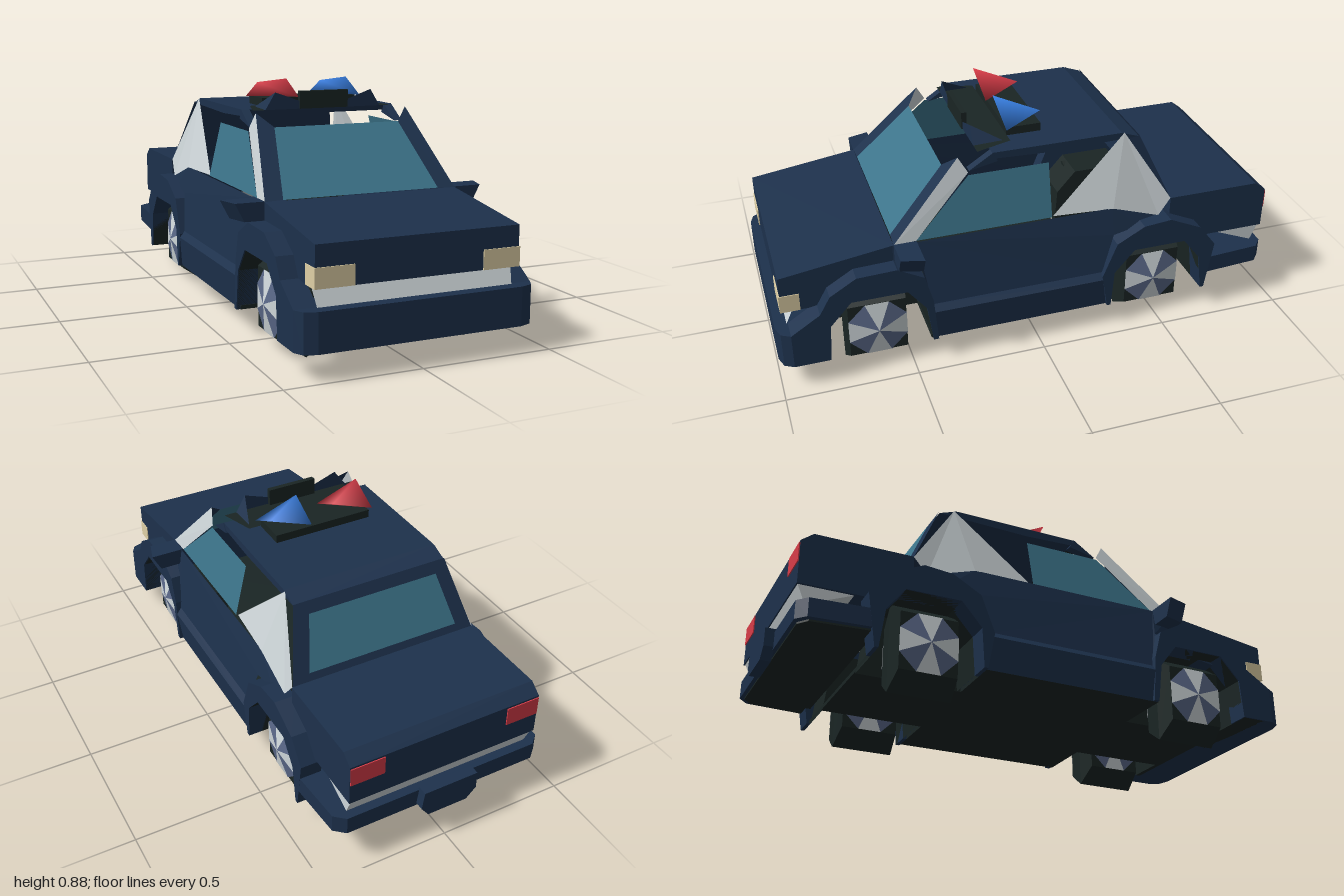
import * as THREE from 'three';

const paint = (name, color) => {
  const m = new THREE.MeshStandardMaterial({ color, side: THREE.DoubleSide });
  m.name = name;
  return m;
};

export function createModel() {
  const car = new THREE.Group();
  car.name = 'patrolCar';
  const navy = paint('navyBody', 0x1d314c), dark = paint('darkRubber', 0x1a2524);
  const glass = paint('tealGlass', 0x3c748a), silver = paint('silver', 0xced6d9);
  const slate = paint('slateSpoke', 0x5a6888), red = paint('red', 0xd83c48);
  const blue = paint('blue', 0x387fe2), cream = paint('creamLamp', 0xdfd0a6);

  const add = (name, geo, mat) => {
    const m = new THREE.Mesh(geo, mat);
    m.name = name;
    car.add(m);
    return m;
  };
  // Flat convex panel through the given corners
  const panel = (name, mat, pts) => {
    const pos = [];
    for (let i = 1; i < pts.length - 1; i++) pos.push(...pts[0], ...pts[i], ...pts[i + 1]);
    const g = new THREE.BufferGeometry();
    g.setAttribute('position', new THREE.Float32BufferAttribute(pos, 3));
    g.computeVertexNormals();
    return add(name, g, mat);
  };
  const box = (name, mat, x0, x1, y0, y1, z0, z1) =>
    add(name, new THREE.BoxGeometry(Math.abs(x1 - x0), y1 - y0, z1 - z0)
      .translate((x0 + x1) / 2, (y0 + y1) / 2, (z0 + z1) / 2), mat);
  const extrude = (pts, depth) => new THREE.ExtrudeGeometry(
    new THREE.Shape(pts.map(p => new THREE.Vector2(...p))), { depth, bevelEnabled: false });
  // Side profile of [z, y] points, pushed along x
  const sideways = (name, mat, pts, x0, x1) =>
    add(name, extrude(pts.map(([z, y]) => [-z, y]), Math.abs(x1 - x0))
      .rotateY(Math.PI / 2).translate(Math.min(x0, x1), 0, 0), mat);
  // Half plan of [x, z] points, mirrored and pushed up along y
  const upward = (name, mat, half, y0, y1) => {
    const pts = [...half, ...half.map(([x, z]) => [-x, z]).reverse()].map(([x, z]) => [x, -z]);
    return add(name, extrude(pts, y1 - y0).rotateX(-Math.PI / 2).translate(0, y0, 0), mat);
  };

  // Hood and trunk
  sideways('hood', navy, [[0.545, 0.51], [0.97, 0.45], [0.97, 0.305], [0.87, 0.305], [0.55, 0.36]], -0.38, 0.38);
  sideways('trunk', navy,
    [[-0.55, 0.51], [-0.92, 0.51], [-0.965, 0.475], [-0.965, 0.31], [-0.72, 0.31], [-0.55, 0.42]], -0.385, 0.385);

  // Bumpers, grille and the rear plate holder
  upward('frontBumper', navy, [[0.445, 0.84], [0.445, 0.95], [0.425, 0.985], [0.38, 1]], 0.1, 0.24);
  panel('grille', silver, [[-0.365, 0.24, 0.955], [0.365, 0.24, 0.955], [0.375, 0.305, 0.93], [-0.375, 0.305, 0.93]]);
  upward('rearBumper', navy, [[0.445, -0.71], [0.43, -0.93], [0.39, -0.965]], 0.17, 0.24);
  upward('rearBumperUnderside', dark, [[0.43, -0.69], [0.41, -0.92], [0.37, -0.95]], 0.163, 0.17);
  sideways('rearValance', silver, [[-0.76, 0.31], [-0.96, 0.31], [-0.93, 0.24]], -0.375, 0.375);
  add('plateHolder', extrude([[-0.12, 0.18], [-0.08, 0.14], [0.08, 0.14], [0.11, 0.18], [0.1, 0.25], [-0.12, 0.25]], 0.04)
    .translate(0, 0, -1), navy);

  // Floor with notches for the wheels
  upward('floor', dark, [[0.44, 0.95], [0.44, 0.82], [0.2, 0.82], [0.2, 0.43], [0.43, 0.43],
    [0.43, -0.28], [0.2, -0.28], [0.2, -0.69], [0.43, -0.69]], 0.1, 0.115);

  // Roof with a dark front panel, open between it and the windshield
  sideways('roof', navy, [[0.15, 0.79], [-0.36, 0.79], [-0.43, 0.765], [-0.06, 0.757], [0.14, 0.765]], -0.315, 0.315);
  panel('roofPanel', dark, [[-0.25, 0.794, 0.06], [0.25, 0.794, 0.06], [0.29, 0.79, 0.2], [-0.29, 0.79, 0.2]]);

  // Windshield and rear window
  panel('windshield', glass, [[-0.31, 0.512, 0.543], [0.31, 0.512, 0.543], [0.255, 0.74, 0.327], [-0.255, 0.74, 0.327]]);
  panel('rearFrame', navy, [[0.38, 0.51, -0.55], [-0.38, 0.51, -0.55], [-0.315, 0.77, -0.432], [0.315, 0.77, -0.432]]);
  panel('rearWindow', glass, [[0.31, 0.54, -0.542], [-0.31, 0.54, -0.542], [-0.265, 0.73, -0.456], [0.265, 0.73, -0.456]]);

  // Beacon base and the two softly shaded wedge beacons
  box('beaconBase', dark, -0.2, 0.2, 0.79, 0.822, -0.075, 0.06);
  for (const [name, mat, x0, x1] of [['redBeacon', red, -0.22, -0.045], ['blueBeacon', blue, 0.045, 0.22]]) {
    const g = new THREE.BufferGeometry();
    g.setAttribute('position', new THREE.Float32BufferAttribute(
      [x0, 0.885, 0.065, x1, 0.885, -0.065, x1, 0.82, 0.065, x0, 0.82, -0.065], 3));
    g.setIndex([0, 2, 1, 0, 1, 3, 0, 3, 2, 1, 2, 3]);
    g.computeVertexNormals();
    add(name, g, mat);
  }
  // Raised roof sign
  box('roofSign', dark, -0.1, 0.1, 0.79, 0.857, 0.185, 0.205);

  const arch = zc => [[0.19, 0.1], [0.18, 0.25], [0.1, 0.34], [-0.11, 0.34], [-0.18, 0.25], [-0.2, 0.1]]
    .map(([z, y]) => [z + zc, y]);

  for (const s of [1, -1]) {
    // Fenders flare out around the wheel arches
    sideways('frontFender', navy, [[0.95, 0.1], [0.95, 0.24], [0.84, 0.31], [0.8, 0.38], [0.7, 0.44], [0.55, 0.445],
      [0.45, 0.39], [0.42, 0.28], [0.405, 0.1], ...arch(0.625).reverse()], s * 0.36, s * 0.445);
    sideways('rearFender', navy, [[-0.28, 0.1], [-0.255, 0.24], [-0.31, 0.38], [-0.42, 0.44], [-0.53, 0.45], [-0.66, 0.39],
      [-0.73, 0.3], [-0.7, 0.1], ...arch(-0.485).reverse()], s * 0.36, s * 0.445);

    // Door over a protruding sill, and the panels joining the door to hood and trunk
    panel('door', navy, [[s * 0.385, 0.51, 0.46], [s * 0.385, 0.51, -0.31], [s * 0.405, 0.4, -0.31],
      [s * 0.425, 0.25, -0.26], [s * 0.425, 0.25, 0.42], [s * 0.405, 0.4, 0.45]]);
    panel('sillLedge', navy, [[s * 0.425, 0.25, 0.42], [s * 0.425, 0.25, -0.26], [s * 0.445, 0.225, -0.27], [s * 0.445, 0.225, 0.42]]);
    panel('sill', navy, [[s * 0.445, 0.225, 0.42], [s * 0.445, 0.225, -0.27], [s * 0.43, 0.1, -0.29], [s * 0.43, 0.1, 0.41]]);
    panel('cowlSide', navy, [[s * 0.38, 0.51, 0.55], [s * 0.385, 0.51, 0.46], [s * 0.405, 0.4, 0.45], [s * 0.38, 0.4, 0.55]]);
    panel('rearQuarter', navy, [[s * 0.385, 0.51, -0.31], [s * 0.385, 0.45, -0.5], [s * 0.4, 0.42, -0.42], [s * 0.405, 0.4, -0.31]]);

    // Roof rails, cabin pillars and side window
    sideways('roofRail', navy, [[0.15, 0.79], [0.13, 0.755], [0.24, 0.732]], s * 0.285, s * 0.318);
    panel('windshieldPillar', navy, [[s * 0.38, 0.51, 0.545], [s * 0.31, 0.79, 0.28],
      [s * 0.255, 0.74, 0.327], [s * 0.31, 0.512, 0.543]]);
    panel('frontPillar', silver, [[s * 0.38, 0.51, 0.545], [s * 0.31, 0.79, 0.28], [s * 0.324, 0.73, 0.245], [s * 0.376, 0.51, 0.46]]);
    panel('sideWindow', glass, [[s * 0.376, 0.51, 0.46], [s * 0.326, 0.72, 0.245], [s * 0.326, 0.72, -0.065], [s * 0.376, 0.51, -0.065]]);
    panel('rearPillar', silver, [[s * 0.315, 0.79, -0.37], [s * 0.37, 0.51, -0.07], [s * 0.387, 0.508, -0.31],
      [s * 0.39, 0.445, -0.5], [s * 0.383, 0.51, -0.55]]);

    // Door mirror, tapering in towards the front
    const mirror = extrude([[0.38, 0.445], [0.48, 0.445], [0.515, 0.512], [0.38, 0.512]].map(([x, y]) => [s * x, y]), 0.085)
      .translate(0, 0, 0.46);
    const mp = mirror.attributes.position;
    for (let i = 0; i < mp.count; i++) {
      if (mp.getZ(i) > 0.5 && Math.abs(mp.getX(i)) > 0.4) mp.setX(i, mp.getX(i) - s * 0.025);
    }
    mirror.computeVertexNormals();
    add('doorMirror', mirror, navy);

    // Lamps and the sloping sign wings
    box('headlight', cream, s * 0.24, s * 0.383, 0.305, 0.375, 0.9, 0.974);
    box('tailLight', red, s * 0.25, s * 0.383, 0.395, 0.468, -0.969, -0.962);
    panel('signWing', navy, [[s * 0.1, 0.79, 0.2], [s * 0.24, 0.79, 0.2], [s * 0.2, 0.855, 0.2], [s * 0.1, 0.82, 0.2]]);
    panel('signWingBack', navy, [[s * 0.2, 0.855, 0.2], [s * 0.24, 0.79, 0.2], [s * 0.24, 0.79, 0.08]]);

    for (const zc of [0.625, -0.485]) {
      // Wheel well lining
      const a = arch(zc);
      panel('wellWall', dark, a.map(([z, y]) => [s * 0.2, y, z]));
      for (let i = 0; i < a.length - 1; i++) {
        const [z0, y0] = a[i], [z1, y1] = a[i + 1];
        panel('wellLining', dark, [[s * 0.2, y0, z0], [s * 0.2, y1, z1], [s * 0.44, y1, z1], [s * 0.44, y0, z0]]);
      }
      // Tyre with a ridged tread
      const r = Math.SQRT2;
      const tyre = new THREE.LatheGeometry([[0, -0.085], [0.11 * r, -0.085], [0.168 * r, 0], [0.11 * r, 0.085], [0, 0.085]]
        .map(p => new THREE.Vector2(...p)), 4, Math.PI / 4).rotateZ(Math.PI / 2).toNonIndexed();
      const p = tyre.attributes.position;
      for (let i = 0; i < p.count; i++) p.setZ(i, THREE.MathUtils.clamp(p.getZ(i), -0.12, 0.12));
      tyre.computeVertexNormals();
      add('tyre', tyre.translate(s * 0.31, 0.17, zc), dark);
      // Eight-sided hubcaps with alternating segments
      for (const [face, tip] of [[0.398, 0.42], [0.222, 0.212]]) {
        const rim = i => {
          const t = (i + 0.5) * Math.PI / 4;
          return [s * face, 0.17 + 0.12 * Math.sin(t), zc + 0.12 * Math.cos(t)];
        };
        for (let i = 0; i < 8; i++) panel('hubcap', i % 2 ? silver : slate, [[s * tip, 0.17, zc], rim(i), rim(i + 1)]);
      }
    }
  }
  return car;
}
